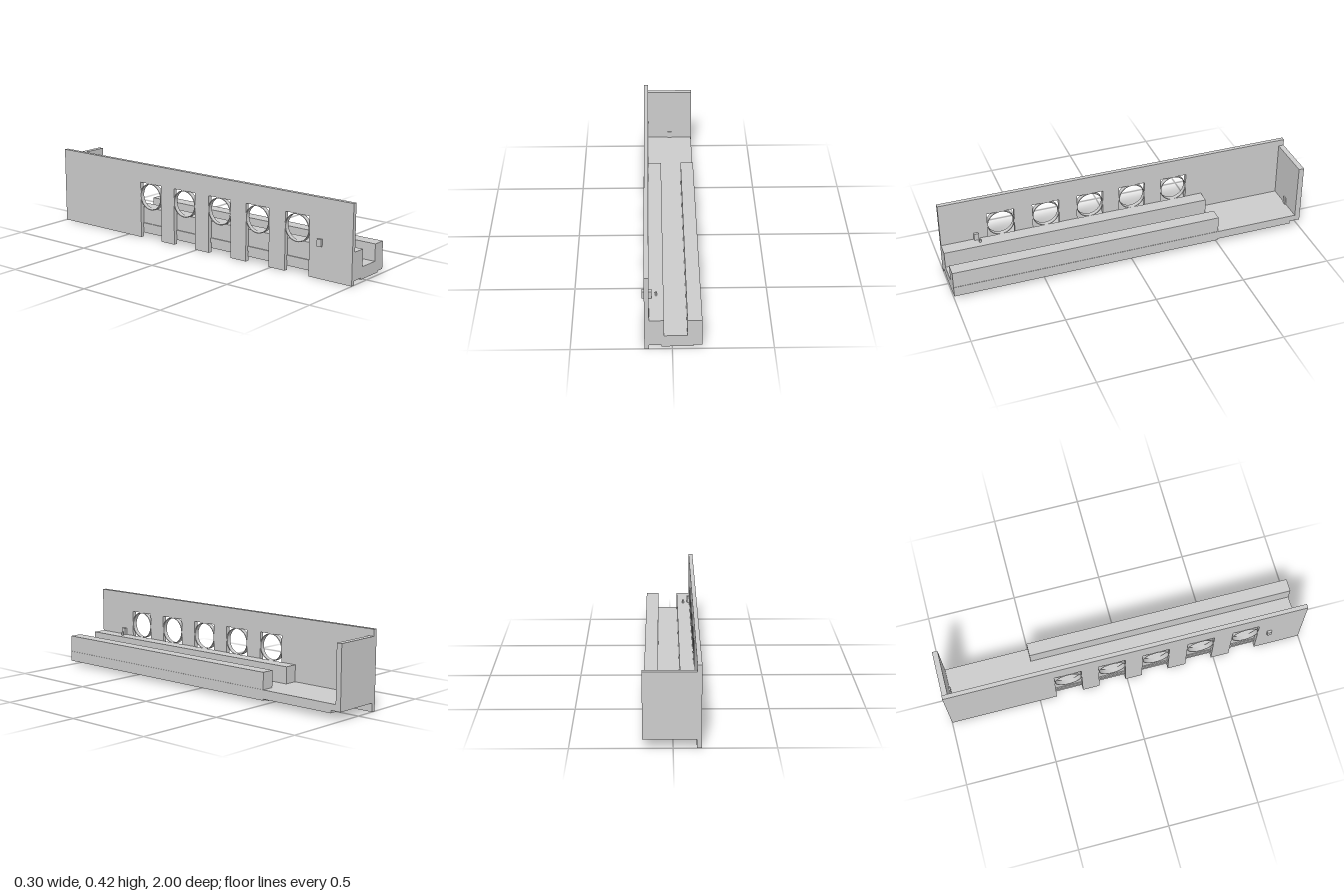
import * as THREE from 'three';

const material = new THREE.MeshStandardMaterial({ color: 0xcccccc, flatShading: true });
const smooth = new THREE.MeshStandardMaterial({ color: 0xcccccc });

// Box given by its limits on each axis
function block(name, [x0, x1], [y0, y1], [z0, z1]) {
  const mesh = new THREE.Mesh(new THREE.BoxGeometry(x1 - x0, y1 - y0, z1 - z0), material);
  mesh.name = name;
  mesh.position.set((x0 + x1) / 2, (y0 + y1) / 2, (z0 + z1) / 2);
  return mesh;
}

// Shape drawn in (z, y), extruded along x from x0 to x1
function sidePlate(name, shape, x0, x1, mat = material) {
  const geometry = new THREE.ExtrudeGeometry(shape, { depth: x1 - x0, bevelEnabled: false, curveSegments: 32 });
  geometry.rotateY(-Math.PI / 2); // (z, y, depth) -> (-depth, y, z)
  geometry.translate(x1, 0, 0);
  const mesh = new THREE.Mesh(geometry, mat);
  mesh.name = name;
  return mesh;
}

export function createModel() {
  const model = new THREE.Group();
  model.name = 'wallAndTrackBed';
  const windows = [-0.33, -0.085, 0.16, 0.412, 0.665];
  const half = 0.075, windowY = 0.243, slotTop = 0.317;

  // Long wall with slots open at the bottom
  const wall = new THREE.Shape();
  wall.moveTo(-1, 0);
  for (const z of windows) {
    wall.lineTo(z - half, 0);
    wall.lineTo(z - half, slotTop);
    wall.lineTo(z + half, slotTop);
    wall.lineTo(z + half, 0);
  }
  wall.lineTo(1, 0);
  wall.lineTo(1, 0.424);
  wall.lineTo(-1, 0.424);
  model.add(sidePlate('wall', wall, -0.137, -0.114));

  // Round window frames in the slots
  for (const z of windows) {
    const ring = new THREE.Shape().absarc(z, windowY, 0.075, 0, Math.PI * 2);
    ring.holes.push(new THREE.Path().absarc(z, windowY, 0.071, 0, Math.PI * 2, true));
    model.add(sidePlate('windowFrame', ring, -0.139, -0.114, smooth));
  }

  // Floor with stepped underside
  const floor = new THREE.Shape([
    [1, 0.023], [1, 0.08], [-0.97, 0.08], [-0.97, 0.046], [-0.94, 0.046],
    [-0.94, 0.031], [-0.5, 0.031], [-0.5, 0.023],
  ].map(([z, y]) => new THREE.Vector2(z, y)));
  model.add(sidePlate('floor', floor, -0.115, 0.147));
  model.add(block('floorLedge', [-0.12, -0.114], [0.055, 0.08], [-0.96, 0.999]));
  model.add(block('bottomPlate', [-0.053, 0.103], [0.014, 0.033], [-0.5, 0.999]));

  // Twin raised rails
  for (const x of [[-0.114, -0.041], [0.073, 0.145]]) {
    model.add(block('rail', x, [0.078, 0.172], [-0.5, 1]));
  }

  // End wall and its small stop
  model.add(block('endWall', [-0.115, 0.148], [0.046, 0.388], [-1, -0.97]));
  model.add(block('endStop', [0.005, 0.03], [0.078, 0.12], [-0.972, -0.963]));

  // Lever through the wall and the pin beside it
  model.add(block('lever', [-0.15, -0.1], [0.172, 0.211], [0.795, 0.82]));
  const pin = new THREE.Mesh(new THREE.CylinderGeometry(0.006, 0.006, 0.022, 16), smooth);
  pin.name = 'pin';
  pin.position.set(-0.078, 0.181, 0.793);
  model.add(pin);

  return model;
}
